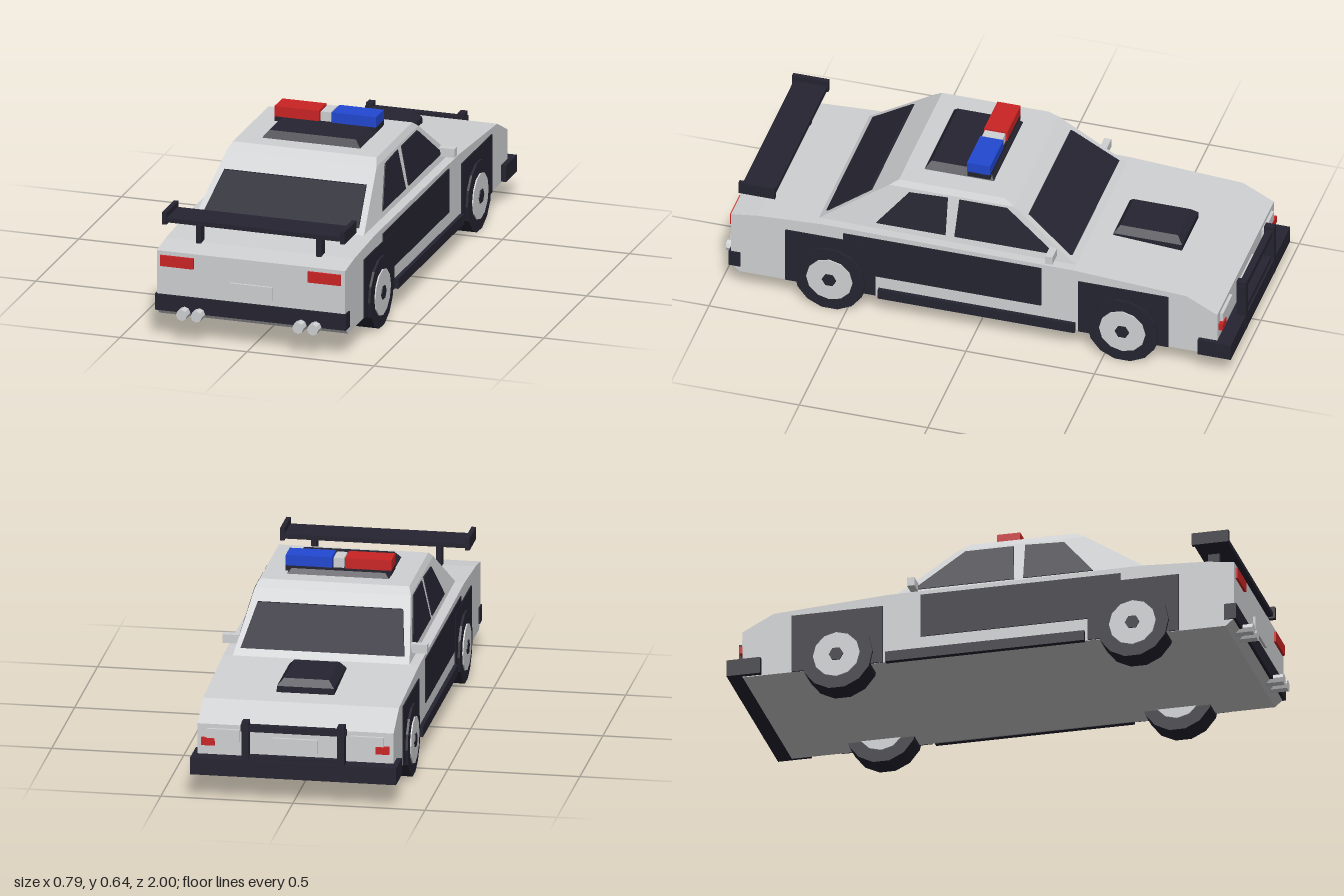
import * as THREE from 'three';

const mat = (name, color) => {
  const m = new THREE.MeshStandardMaterial({ color });
  m.name = name;
  return m;
};

export function createModel() {
  const car = new THREE.Group();
  car.name = 'patrolCar';
  const white = mat('paintGrey', 0xd0d1d3);
  const dark = mat('darkTrim', 0x252431);
  const red = mat('redLamp', 0xcc2424);
  const blue = mat('blueLamp', 0x2248d2);

  const add = (name, geo, material) => {
    const m = new THREE.Mesh(geo, material);
    m.name = name;
    car.add(m);
    return m;
  };
  // Box given by its limits on each axis
  const box = (name, material, x0, x1, y0, y1, z0, z1) =>
    add(name, new THREE.BoxGeometry(Math.abs(x1 - x0), y1 - y0, z1 - z0)
      .translate((x0 + x1) / 2, (y0 + y1) / 2, (z0 + z1) / 2), material);
  // The same box on both sides
  const pair = (name, material, x0, x1, ...rest) => {
    box(name + 'Left', material, x0, x1, ...rest);
    box(name + 'Right', material, -x1, -x0, ...rest);
  };
  // Centred extrusion of a polygon
  const slab = (pts, depth) => new THREE.ExtrudeGeometry(
    new THREE.Shape(pts.map(p => new THREE.Vector2(...p))),
    { depth, bevelEnabled: false }).translate(0, 0, -depth / 2);
  // Extrusion of a side profile given as [z, y]
  const sideSlab = (pts, width) => slab(pts, width).rotateY(-Math.PI / 2);
  const moveBy = (geo, rule) => {
    const p = geo.attributes.position;
    for (let i = 0; i < p.count; i++) {
      const [dx, dz] = rule(p.getY(i));
      p.setX(i, p.getX(i) + dx);
      p.setZ(i, p.getZ(i) + dz);
    }
    geo.computeVertexNormals();
    return geo;
  };
  // Stacked rectangles [y, halfWidth, zFront, zBack], closed on top
  const stack = (levels) => {
    const rings = levels.map(([y, w, a, b]) => [[-w, y, a], [w, y, a], [w, y, b], [-w, y, b]]);
    const v = [];
    for (let i = 0; i < rings.length - 1; i++) {
      for (let k = 0; k < 4; k++) {
        const n = (k + 1) % 4, lo = rings[i], hi = rings[i + 1];
        v.push(lo[k], hi[k], lo[n], lo[n], hi[k], hi[n]);
      }
    }
    const t = rings[rings.length - 1];
    v.push(t[0], t[3], t[2], t[0], t[2], t[1]);
    const g = new THREE.BufferGeometry();
    g.setAttribute('position', new THREE.Float32BufferAttribute(v.flat(), 3));
    g.computeVertexNormals();
    return g;
  };
  const facetedCylinder = (r, h, n) => {
    const g = new THREE.CylinderGeometry(r, r, h, n).toNonIndexed();
    g.computeVertexNormals();
    return g;
  };

  // Lower body and cabin
  add('body', sideSlab([[0.92, 0.09], [0.953, 0.118], [0.953, 0.348], [0.85, 0.362], [0.6, 0.375],
    [-0.38, 0.367], [-0.82, 0.34], [-0.94, 0.278], [-0.94, 0.092]], 0.742), white);
  add('cabin', stack([[0.36, 0.336, -0.39, 0.642], [0.555, 0.295, -0.127, 0.36],
    [0.579, 0.283, -0.09, 0.325]]), white);

  // Windscreen and rear window follow the cabin slopes
  const frontZ = y => -0.127 - (0.555 - y) * 1.35;
  const backZ = y => 0.36 + (0.555 - y) * 1.446;
  add('windscreen', moveBy(slab([[-0.31, 0.39], [0.31, 0.39], [0.275, 0.518], [-0.275, 0.518]], 0.016),
    y => [0, frontZ(y)]), dark);
  add('rearWindow', moveBy(slab([[-0.305, 0.393], [0.305, 0.393], [0.28, 0.506], [-0.28, 0.506]], 0.016),
    y => [0, backZ(y)]), dark);

  // Side windows
  const sideX = y => 0.336 - (y - 0.36) * 0.21;
  for (const [side, s] of [['Left', 1], ['Right', -1]]) {
    add('rearSideWindow' + side, moveBy(sideSlab(
      [[0.4, 0.396], [0.13, 0.396], [0.13, 0.546], [0.28, 0.54]], 0.009), y => [s * sideX(y), 0]), dark);
    add('frontSideWindow' + side, moveBy(sideSlab(
      [[0.095, 0.396], [-0.275, 0.396], [-0.275, 0.412], [-0.1, 0.546], [0.085, 0.546]], 0.009),
      y => [s * sideX(y), 0]), dark);
  }

  // Side panels, sills and mirrors
  pair('doorPanel', dark, 0.369, 0.375, 0.18, 0.352, -0.255, 0.515);
  pair('rearArch', dark, 0.368, 0.376, 0.092, 0.322, 0.39, 0.74);
  pair('frontArch', dark, 0.368, 0.376, 0.092, 0.322, -0.75, -0.4);
  pair('sill', dark, 0.365, 0.386, 0.088, 0.128, -0.388, 0.378);
  pair('mirror', white, 0.325, 0.387, 0.388, 0.422, -0.303, -0.275);

  // Wheels
  for (const s of [1, -1]) {
    for (const z of [0.565, -0.575]) {
      const wheel = new THREE.Group();
      wheel.name = (z > 0 ? 'rear' : 'front') + 'Wheel' + (s > 0 ? 'Left' : 'Right');
      for (const [name, r, h, n, x, m] of [['tyre', 0.138, 0.096, 14, 0.337, dark],
        ['rim', 0.09, 0.106, 12, 0.337, white], ['hub', 0.028, 0.114, 6, 0.337, dark]]) {
        const part = new THREE.Mesh(facetedCylinder(r, h, n).rotateZ(Math.PI / 2), m);
        part.name = name;
        part.position.x = s * x;
        wheel.add(part);
      }
      wheel.position.set(0, 0.138, z);
      car.add(wheel);
    }
  }

  // Rear end: bumper, lamps, plate and exhausts
  box('rearBumper', dark, -0.376, 0.376, 0.115, 0.178, 0.915, 0.961);
  pair('tailLamp', red, 0.225, 0.355, 0.29, 0.332, 0.95, 0.962);
  box('rearPlate', white, -0.085, 0.085, 0.2, 0.253, 0.95, 0.962);
  for (const x of [-0.258, -0.2, 0.2, 0.258]) {
    add('exhaust', facetedCylinder(0.022, 0.08, 8).rotateX(Math.PI / 2).translate(x, 0.118, 0.96), white);
  }

  // Spoiler
  box('spoilerWing', dark, -0.345, 0.345, 0.45, 0.468, 0.79, 0.92);
  pair('spoilerEnd', dark, 0.342, 0.359, 0.443, 0.491, 0.786, 0.927);
  pair('spoilerLeg', dark, 0.227, 0.247, 0.35, 0.455, 0.82, 0.865);

  // Roof hatch and light bar
  add('roofHatch', stack([[0.575, 0.197, -0.02, 0.255], [0.606, 0.17, 0, 0.232]]), dark);
  box('lightBarBase', dark, -0.2, 0.2, 0.588, 0.608, -0.005, 0.083);
  box('redBeacon', red, -0.2, -0.025, 0.607, 0.648, -0.005, 0.085);
  box('blueBeacon', blue, 0.025, 0.2, 0.607, 0.648, -0.005, 0.085);
  box('beaconCentre', white, -0.02, 0.02, 0.607, 0.645, 0, 0.08);

  // Bonnet scoop
  add('bonnetScoop', stack([[0.335, 0.11, -0.725, -0.452], [0.37, 0.108, -0.725, -0.458],
    [0.396, 0.085, -0.702, -0.478]]), dark);

  // Front end: bumper, bull bar, lamps and plate
  box('frontBumper', dark, -0.39, 0.39, 0.095, 0.16, -0.998, -0.935);
  pair('bumperCorner', dark, 0.368, 0.39, 0.095, 0.16, -0.998, -0.868);
  pair('bullBarPost', dark, 0.168, 0.194, 0.098, 0.312, -1, -0.962);
  box('bullBarTop', dark, -0.2, 0.2, 0.272, 0.296, -0.994, -0.968);
  box('bullBarMiddle', dark, -0.18, 0.18, 0.16, 0.178, -0.99, -0.968);
  pair('headlamp', white, 0.21, 0.335, 0.215, 0.262, -0.952, -0.935);
  pair('indicator', red, 0.305, 0.356, 0.198, 0.226, -0.956, -0.935);
  box('frontPlate', white, -0.085, 0.085, 0.185, 0.238, -0.952, -0.935);

  return car;
}
